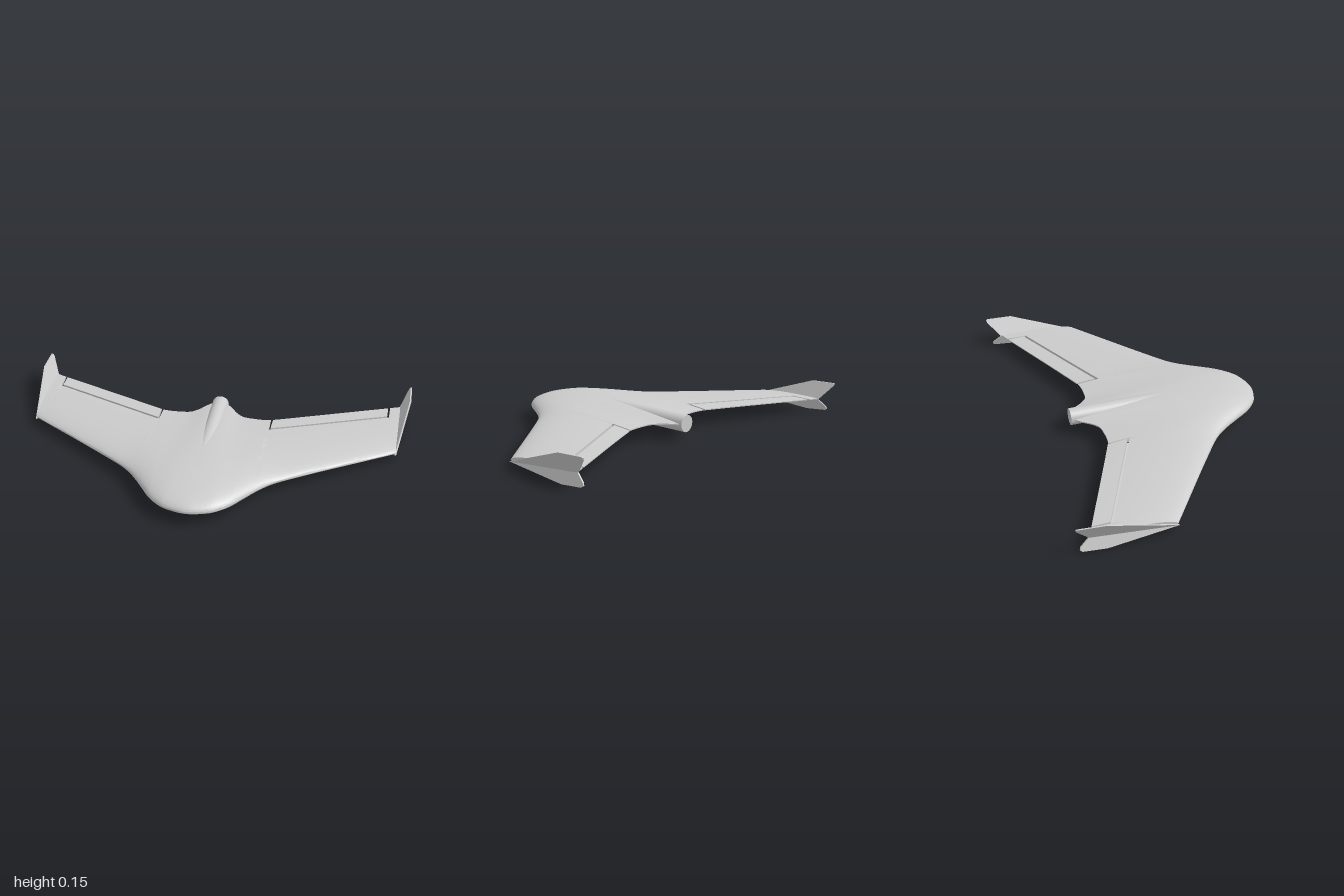
import * as THREE from 'three';
import { toCreasedNormals } from 'three/addons/utils/BufferGeometryUtils.js';

const SPAN = 0.945;
const material = new THREE.MeshStandardMaterial({ color: 0xcccccc, side: THREE.DoubleSide });

// Smooth curve through [x, value] keys, symmetric about x = 0
function curve(keys) {
  const slope = (i) => {
    if (i === 0) return 0;
    const a = keys[i - 1], b = keys[Math.min(i + 1, keys.length - 1)];
    return (b[1] - a[1]) / (b[0] - a[0]);
  };
  return (x) => {
    const ax = Math.abs(x);
    let i = 0;
    while (i < keys.length - 2 && ax > keys[i + 1][0]) i++;
    const [x0, y0] = keys[i], [x1, y1] = keys[i + 1];
    const h = x1 - x0, t = (ax - x0) / h, t2 = t * t, t3 = t2 * t;
    return y0 * (2 * t3 - 3 * t2 + 1) + y1 * (3 * t2 - 2 * t3)
      + h * slope(i) * (t3 - 2 * t2 + t) + h * slope(i + 1) * (t3 - t2);
  };
}

// Planform edges, section heights and section thicknesses along the span
const leading = curve([[0, 0.6], [0.1, 0.578], [0.15, 0.548], [0.2, 0.5], [0.25, 0.43], [0.3, 0.36],
  [0.35, 0.302], [0.4, 0.258], [0.5, 0.187], [0.6, 0.118], [SPAN, -0.115]]);
const trailing = curve([[0, -0.365], [0.04, -0.36], [0.07, -0.33], [0.1, -0.29], [0.14, -0.258],
  [0.2, -0.25], [0.25, -0.25], [0.29, -0.257], [SPAN, -0.527]]);
const noseY = curve([[0, 0.072], [0.4, 0.065], [SPAN, 0.045]]);
const tailY = curve([[0, 0.08], [0.4, 0.076], [SPAN, 0.065]]);
const upper = curve([[0, 0.063], [0.1, 0.06], [0.2, 0.05], [0.4, 0.032], [SPAN, 0.02]]);
const lower = curve([[0, 0.03], [0.4, 0.026], [SPAN, 0.012]]);
const hinge = (x) => -0.145 - (Math.abs(x) - 0.29) * 0.43;

// Height of the airfoil surface at (x, z)
function surface(x, z, thickness, sign) {
  const s = THREE.MathUtils.clamp((leading(x) - z) / (leading(x) - trailing(x)), 0, 1);
  const f = 10 * (0.2969 * Math.sqrt(s) - 0.126 * s - 0.3516 * s ** 2 + 0.2843 * s ** 3 - 0.1015 * s ** 4);
  return noseY(x) + (tailY(x) - noseY(x)) * s + sign * (thickness(x) * f + 0.002 * s);
}
const topY = (x, z) => surface(x, z, upper, 1);
const bottomY = (x, z) => surface(x, z, lower, -1);

// Closed panel lofted over span stations between a front and a back edge
function panel(name, xs, front, back, top = topY, bottom = bottomY, n = 36) {
  const pos = [], index = [], ring = 2 * (n + 1);
  for (const x of xs) {
    for (let i = 0; i < ring; i++) {
      const u = (i <= n ? i : ring - 1 - i) / n;
      const z = THREE.MathUtils.lerp(front(x), back(x), u * u);
      pos.push(x, (i <= n ? top : bottom)(x, z), z);
    }
  }
  for (let j = 0; j < xs.length - 1; j++) {
    for (let i = 0; i < ring; i++) {
      const k = (i + 1) % ring;
      const a = j * ring + i, b = j * ring + k, c = a + ring, d = b + ring;
      index.push(a, c, b, b, c, d);
    }
  }
  const end = (xs.length - 1) * ring;
  for (let i = 0; i < n; i++) {
    const t = i, t1 = i + 1, b = ring - 1 - i, b1 = b - 1;
    index.push(t, t1, b, t1, b1, b);
    index.push(end + t, end + b, end + t1, end + t1, end + b, end + b1);
  }
  const geometry = new THREE.BufferGeometry();
  geometry.setAttribute('position', new THREE.Float32BufferAttribute(pos, 3));
  geometry.setIndex(index);
  const mesh = new THREE.Mesh(toCreasedNormals(geometry, 0.8), material);
  mesh.name = name;
  return mesh;
}

const stations = (a, b, n) => Array.from({ length: n + 1 }, (_, i) => a + (b - a) * i / n);

// Thin winglet plate from a (-z, y) outline, leaning outward away from the wing tip line
function fin(name, outline, side, lean) {
  const shape = new THREE.Shape(outline.map(([u, v]) => new THREE.Vector2(u, v)));
  const geometry = new THREE.ExtrudeGeometry(shape, { depth: 0.008, bevelEnabled: false });
  const p = geometry.attributes.position;
  for (let i = 0; i < p.count; i++) {
    const u = p.getX(i), v = p.getY(i), w = p.getZ(i) - 0.004;
    const tipLine = 0.037 + (u - 0.11) * 0.062;
    p.setXYZ(i, side * (SPAN + lean * Math.abs(v - tipLine)) + w, v, -u);
  }
  geometry.computeVertexNormals();
  const mesh = new THREE.Mesh(geometry, material);
  mesh.name = name;
  return mesh;
}

export function createModel() {
  const model = new THREE.Group();
  model.name = 'flyingWing';

  // Blended body and wing, cut back to the hinge line where the elevons sit
  const half = [...stations(0, 0.287, 34), ...stations(0.288, 0.891, 40), ...stations(0.892, SPAN, 4)];
  const xs = [...half.slice(1).reverse().map((x) => -x), ...half];
  const cutBack = (x) => (Math.abs(x) > 0.2875 && Math.abs(x) < 0.8915 ? hinge(x) : trailing(x));
  model.add(panel('wingBody', xs, leading, cutBack));

  // Motor pod running out of the rear of the body
  const pod = new THREE.Mesh(new THREE.CylinderGeometry(0.043, 0.043, 0.575, 40), material);
  pod.name = 'motorPod';
  pod.rotation.x = Math.PI / 2 - Math.atan2(0.014, 0.575);
  pod.position.set(0, 0.085, -0.0875);
  model.add(pod);

  for (const side of [-1, 1]) {
    const label = side > 0 ? 'left' : 'right';
    const span = side > 0 ? stations(0.297, 0.882, 24) : stations(-0.882, -0.297, 24);

    // Elevon and the thin strip that hinges it along the underside
    model.add(panel(label + 'Elevon', span, (x) => hinge(x) - 0.014, trailing, topY, bottomY, 10));
    model.add(panel(label + 'HingeStrip', span, (x) => hinge(x) + 0.005, (x) => hinge(x) - 0.02,
      (x, z) => bottomY(x, z) + 0.004, (x, z) => bottomY(x, z) + 0.001, 2));

    // Winglets above and below the tip
    model.add(fin(label + 'UpperWinglet', [[0.11, 0.037], [0.46, 0.15], [0.595, 0.153], [0.6, 0.148],
      [0.597, 0.138], [0.53, 0.063]], side, 0.55));
    model.add(fin(label + 'LowerWinglet', [[0.11, 0.037], [0.53, 0.063], [0.572, 0.027], [0.576, 0.015],
      [0.565, 0.007], [0.45, 0]], side, 0.33));
  }
  return model;
}
